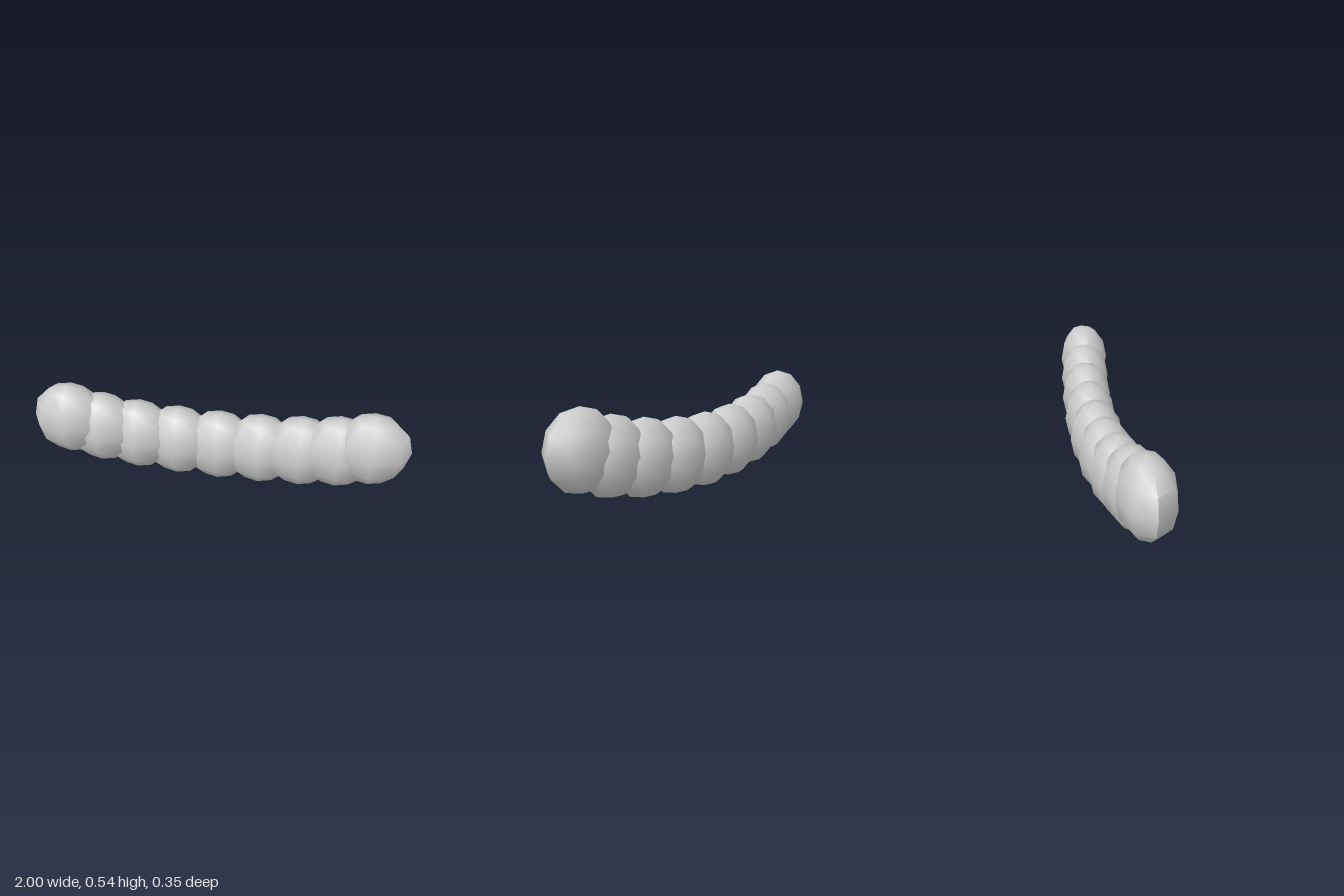
import * as THREE from 'three';
import { toCreasedNormals } from 'three/addons/utils/BufferGeometryUtils.js';

export function createModel() {
  const group = new THREE.Group();
  group.name = 'segmentedArc';
  const material = new THREE.MeshStandardMaterial({ color: 0xcccccc });

  // One flattened low-poly ball, sharp only along its two side ridges
  const ball = new THREE.SphereGeometry(1, 8, 6).scale(0.202, 0.202, 0.141);
  const segmentGeometry = toCreasedNormals(ball, THREE.MathUtils.degToRad(52));

  const addSegment = (name, x, y, z) => {
    const mesh = new THREE.Mesh(segmentGeometry, material);
    mesh.name = name;
    mesh.position.set(x, y, z);
    group.add(mesh);
  };

  // Segment centres from the middle outwards, rising and curving forward
  const centres = [
    [0, 0.204, -0.035],
    [0.224, 0.213, -0.029],
    [0.44, 0.239, -0.012],
    [0.634, 0.28, 0.012],
    [0.798, 0.335, 0.035],
  ];
  centres.forEach(([x, y, z], i) => {
    if (i === 0) {
      addSegment('middleSegment', x, y, z);
    } else {
      addSegment(`leftSegment${i}`, x, y, z);
      addSegment(`rightSegment${i}`, -x, y, z);
    }
  });
  return group;
}
